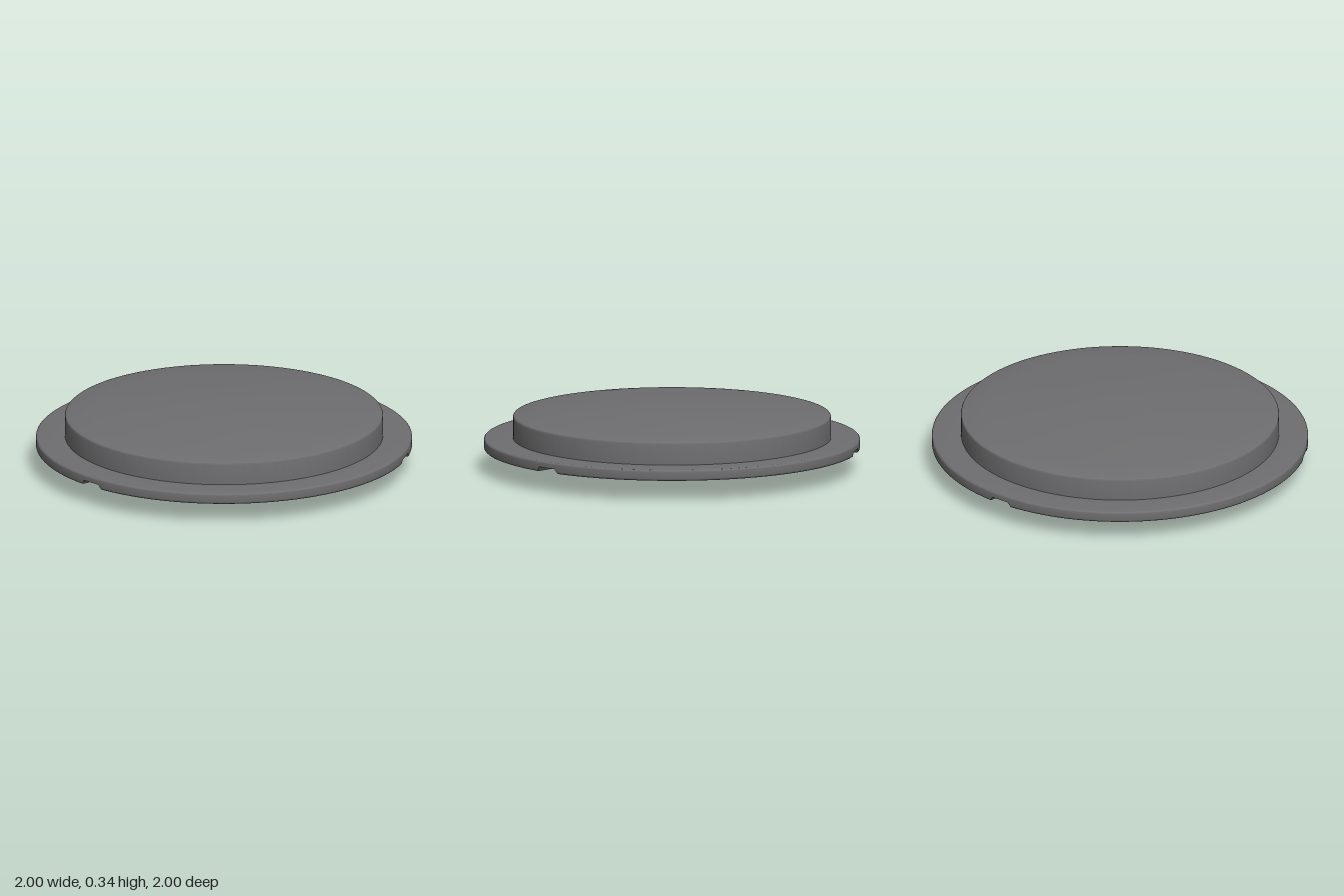
import * as THREE from 'three';
import { toCreasedNormals } from 'three/addons/utils/BufferGeometryUtils.js';

const SEGMENTS = 360;

// Turns corners [radius, height, rounding] into a profile with softened corners.
function roundedProfile(corners) {
  const points = [];
  corners.forEach(([x, y, r = 0], i) => {
    const p = new THREE.Vector2(x, y);
    if (!r) { points.push(p); return; }
    const toward = ([nx, ny]) => new THREE.Vector2(nx, ny).sub(p).setLength(r).add(p);
    const curve = new THREE.QuadraticBezierCurve(toward(corners[i - 1]), p, toward(corners[i + 1]));
    points.push(...curve.getPoints(3));
  });
  return points;
}

// Raises the underside of the outer rim at three evenly spaced notches.
function cutNotches(geometry) {
  const pos = geometry.attributes.position;
  for (let i = 0; i < pos.count; i++) {
    const x = pos.getX(i), z = pos.getZ(i);
    const degrees = THREE.MathUtils.radToDeg(Math.atan2(z, x)) + 360;
    const offset = Math.abs((degrees % 120) - 60);
    if (Math.hypot(x, z) > 0.835 && offset < 3.2) pos.setY(i, Math.max(pos.getY(i), 0.138));
  }
}

export function createModel() {
  const group = new THREE.Group();
  const grey = new THREE.MeshStandardMaterial({ color: 0x6e6e70 });
  grey.name = 'dark grey';

  function addTurned(name, corners, shape) {
    const geometry = new THREE.LatheGeometry(roundedProfile(corners), SEGMENTS);
    if (shape) shape(geometry);
    const mesh = new THREE.Mesh(toCreasedNormals(geometry, 0.65), grey);
    mesh.name = name;
    group.add(mesh);
  }

  // Hollow collar below the lid, with its closed inner floor
  addTurned('collar', [
    [0, 0.15], [0.245, 0.15], [0.245, 0, 0.008], [0.29, 0, 0.012], [0.29, 0.138],
  ]);

  // Recessed underside and wide rim with notches
  addTurned('rim', [
    [0.29, 0.138], [0.745, 0.138], [0.753, 0.112], [0.825, 0.112], [0.84, 0.112],
    [1, 0.112, 0.012], [1, 0.171, 0.012], [0.845, 0.171],
  ], cutNotches);

  // Raised cover with a shallow domed top
  addTurned('cover', [
    [0.845, 0.171], [0.845, 0.292, 0.01], [0.7, 0.306], [0.55, 0.318],
    [0.4, 0.329], [0.3, 0.335], [0.2, 0.339], [0.1, 0.341], [0, 0.341],
  ]);

  return group;
}
